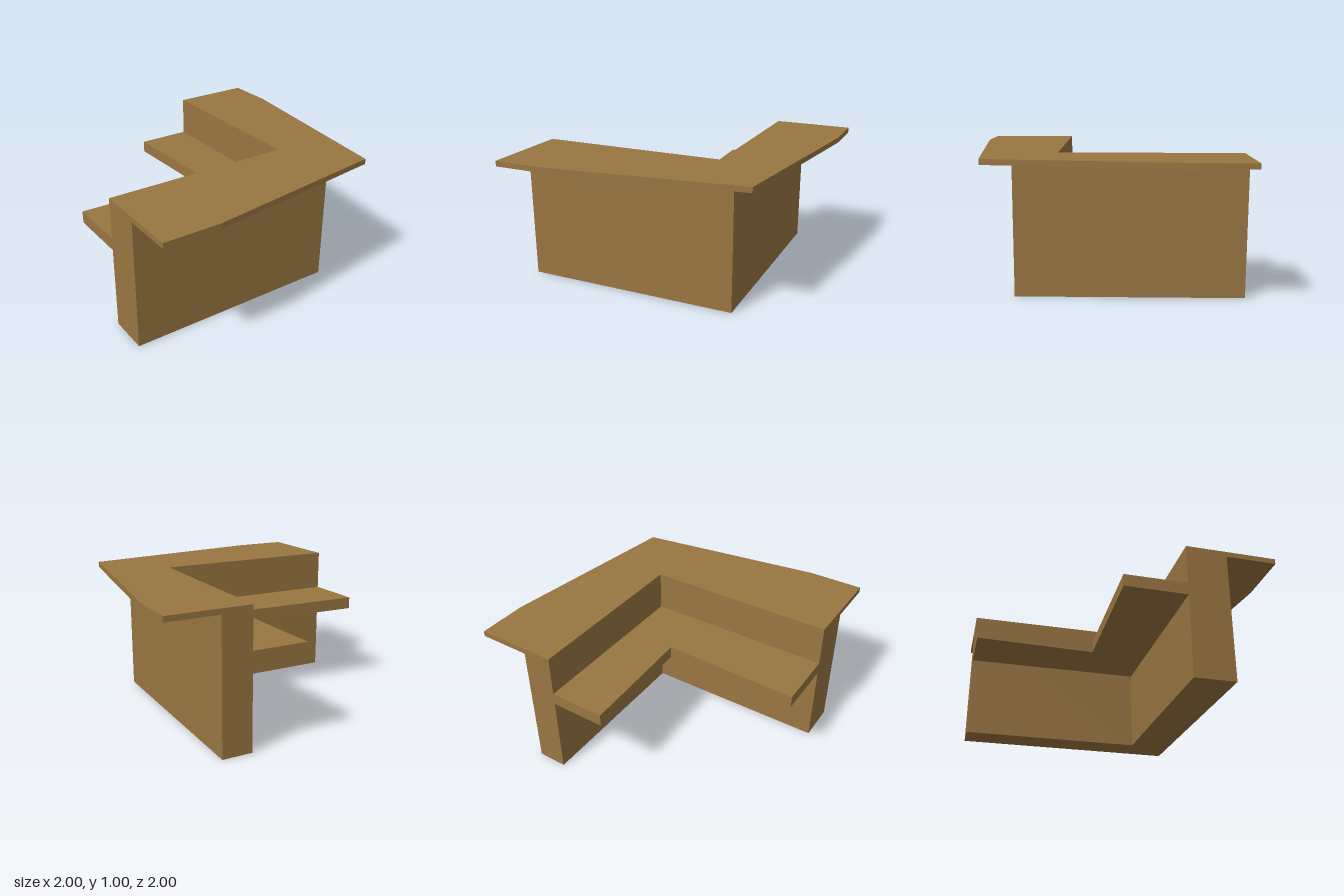
import * as THREE from 'three';

const wood = new THREE.MeshStandardMaterial({ color: 0x9a7642 });
wood.name = 'brown wood';

// Horizontal slab: plan outline in [x, z], spanning heights y0 to y1
function slab(name, outline, y0, y1) {
  const shape = new THREE.Shape(outline.map(([x, z]) => new THREE.Vector2(x, -z)));
  const geometry = new THREE.ExtrudeGeometry(shape, { depth: y1 - y0, bevelEnabled: false });
  geometry.rotateX(-Math.PI / 2);
  geometry.translate(0, y0, 0);
  const mesh = new THREE.Mesh(geometry, wood);
  mesh.name = name;
  return mesh;
}

export function createModel() {
  const group = new THREE.Group();
  group.name = 'cornerCounter';

  // Inner face of the L, shared by all three parts
  const inner = [[0.4, -1], [0.4, 0.325], [-1, 0.325]];

  // L-shaped counter wall
  group.add(slab('counterWall', [...inner, [-1, 0.625], [0.62, 0.625], [0.62, -1]], 0, 0.96));

  // Overhanging top with tapered outer edges
  group.add(slab('counterTop',
    [...inner, [-1, 1], [-0.59, 1], [0.81, 0.81], [1, -0.63], [1, -1]], 0.96, 1));

  // Work shelf on the inner side
  group.add(slab('innerShelf', [...inner, [-1, -0.13], [0.02, -0.1], [-0.01, -1]], 0.61, 0.7));

  return group;
}
